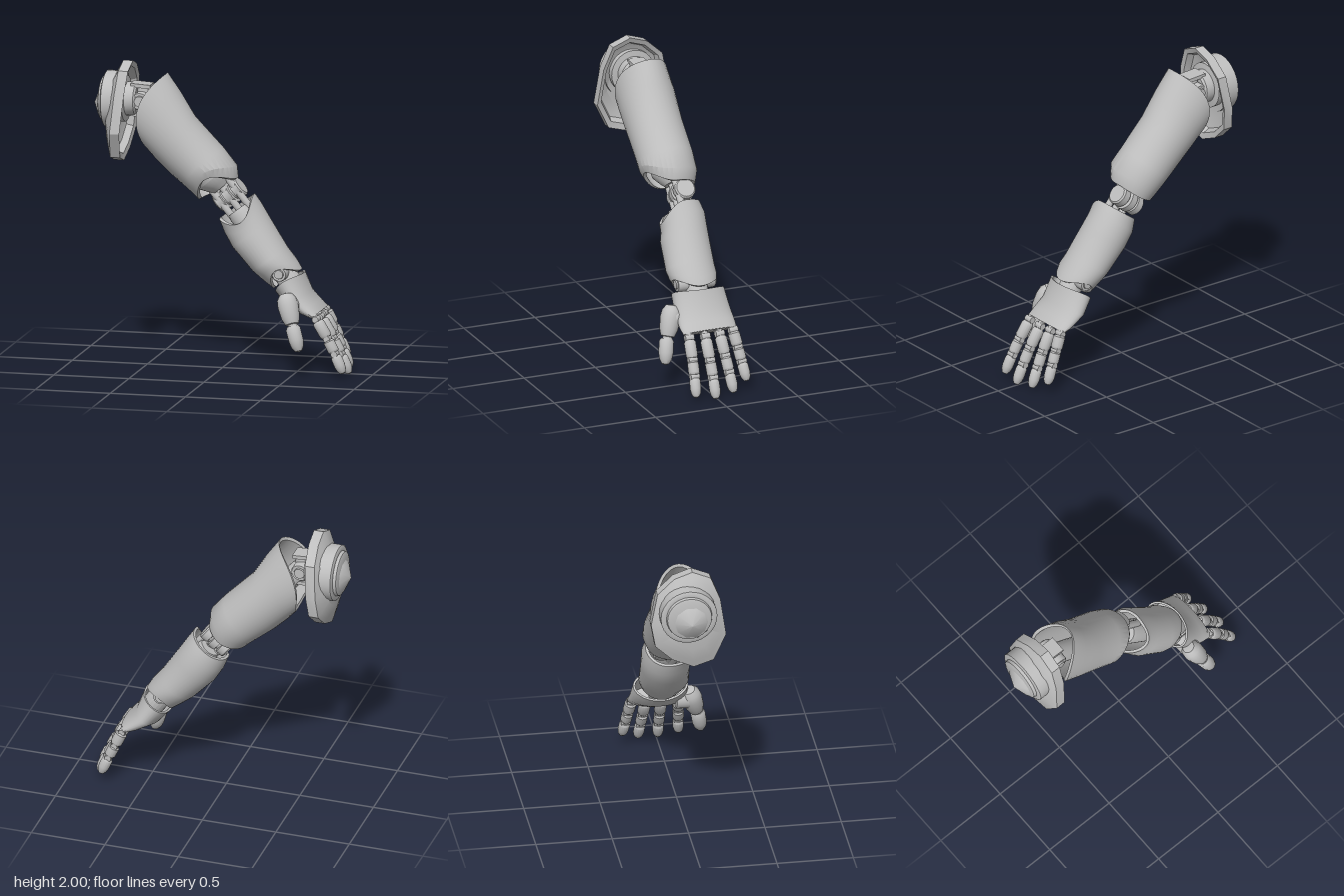
import * as THREE from 'three';
import { toCreasedNormals } from 'three/addons/utils/BufferGeometryUtils.js';

const V = (x, y, z) => new THREE.Vector3(x, y, z);

export function createModel() {
  const model = new THREE.Group();
  const metal = new THREE.MeshStandardMaterial({ color: 0xbebebe });
  metal.name = 'grey metal';

  const add = (name, geometry, parent = model, crease = 0.6) => {
    const mesh = new THREE.Mesh(toCreasedNormals(geometry, crease), metal);
    mesh.name = name;
    parent.add(mesh);
    return mesh;
  };

  // Skin a list of rings; loop joins the last ring back to the first
  const loft = (rings, loop) => {
    const n = rings[0].length, pos = [], idx = [];
    rings.forEach(r => r.forEach(p => pos.push(p.x, p.y, p.z)));
    const m = loop ? rings.length : rings.length - 1;
    for (let i = 0; i < m; i++) for (let j = 0; j < n; j++) {
      const k = (j + 1) % n, i2 = (i + 1) % rings.length;
      const a = i * n + j, b = i * n + k, c = i2 * n + k, d = i2 * n + j;
      idx.push(a, b, c, a, c, d);
    }
    const g = new THREE.BufferGeometry();
    g.setAttribute('position', new THREE.Float32BufferAttribute(pos, 3));
    g.setIndex(idx);
    return g;
  };

  // Cross-section: lower edge, upper edge, back z, front z, and rim bow at front and back
  const ring = ([x1, y1, x2, y2, z1, z2, front = 0, back = 0], inset = 0, n = 36) => {
    const e = V(x2 - x1, y2 - y1, 0), h = Math.max(0, e.length() / 2 - inset);
    e.normalize();
    const d = V(e.y, -e.x, 0), hz = Math.max(0, (z2 - z1) / 2 - inset);
    return Array.from({ length: n }, (_, j) => {
      const a = j / n * Math.PI * 2, s = Math.sin(a);
      return V((x1 + x2) / 2, (y1 + y2) / 2, (z1 + z2) / 2)
        .addScaledVector(e, h * Math.cos(a))
        .addScaledVector(d, (s > 0 ? front : back) * s * s)
        .add(V(0, 0, hz * s));
    });
  };
  const shell = (name, sections, t) => add(name, loft([
    ...sections.map(s => ring(s)), ...sections.map(s => ring(s, t)).reverse()], true));
  const solid = (name, s) => add(name, loft([
    ring(s[0], 9), ...s.map(q => ring(q)), ring(s[s.length - 1], 9)], false));

  // Turned part between two points; profile is [radius, fraction along]
  const turned = (name, a, b, profile, parent = model, sides = 20) => {
    const dir = b.clone().sub(a), len = dir.length();
    const g = new THREE.LatheGeometry(profile.map(([r, t]) => new THREE.Vector2(r, t * len)), sides);
    const mesh = add(name, g, parent);
    mesh.position.copy(a);
    mesh.quaternion.setFromUnitVectors(V(0, 1, 0), dir.normalize());
    return mesh;
  };
  const rod = (name, a, b, r, parent, sides) =>
    turned(name, a, b, [[0, 0], [r * 0.9, 0], [r, 0.06], [r, 0.94], [r * 0.9, 1], [0, 1]], parent, sides);

  // Shoulder guard: faceted outline in z, y
  const outline = [[0, 2], [0.12, 1.95], [0.18, 1.8], [0.215, 1.55], [0.13, 1.38], [0, 1.34],
    [-0.14, 1.4], [-0.25, 1.5], [-0.275, 1.65], [-0.23, 1.86], [-0.12, 1.96]];
  const guardRing = ([x, s]) => outline.map(([z, y]) => {
    const yy = 1.7 + (y - 1.7) * s;
    return V(x + (yy - 1.95) * 0.09, yy, -0.03 + (z + 0.03) * s);
  });
  add('shoulderGuard', loft([[-0.72, 0], [-0.72, 0.6], [-0.685, 0.86], [-0.665, 1], [-0.6, 1],
    [-0.61, 0.88], [-0.655, 0.82], [-0.68, 0.6], [-0.68, 0]].map(guardRing), false), model, 0.45);
  turned('shoulderDrum', V(-0.68, 1.735, -0.04), V(-0.81, 1.735, -0.04),
    [[0.185, 0], [0.185, 0.75], [0.175, 0.8], [0.15, 0.8], [0.145, 0.95], [0.13, 1], [0, 1]], model, 28);
  turned('shoulderCone', V(-0.79, 1.71, -0.03), V(-0.86, 1.71, -0.03), [[0.13, 0], [0.1, 0.4], [0, 1]], model, 10);

  // Shoulder universal joint
  turned('shoulderSocket', V(-0.69, 1.74, -0.04), V(-0.57, 1.74, -0.04),
    [[0.15, 0], [0.15, 0.35], [0.11, 0.4], [0.11, 0.9], [0.095, 1], [0, 1]], model, 28);
  rod('shoulderPin', V(-0.54, 1.74, -0.13), V(-0.54, 1.74, 0.05), 0.06);
  rod('shoulderPinCap', V(-0.54, 1.74, -0.14), V(-0.54, 1.74, 0.06), 0.038);
  rod('shoulderCrossPin', V(-0.53, 1.64, -0.04), V(-0.53, 1.84, -0.04), 0.045);
  for (const side of [-1, 1]) {
    const fork = add('shoulderFork', new THREE.BoxGeometry(0.13, 0.025, 0.11));
    fork.position.set(-0.545, 1.74 + side * 0.095, -0.04);
    fork.rotation.z = -0.06;
  }
  rod('upperArmBone', V(-0.54, 1.74, -0.04), V(-0.1, 1.25, -0.05), 0.07);

  // Upper arm sleeve
  shell('upperArmShell', [
    [-0.5, 1.42, -0.38, 1.92, -0.23, 0.135, -0.1, -0.1],
    [-0.45, 1.36, -0.29, 1.79, -0.235, 0.14, -0.05, -0.05],
    [-0.36, 1.27, -0.2, 1.64, -0.23, 0.135],
    [-0.25, 1.18, -0.01, 1.44, -0.235, 0.135, -0.03],
    [-0.19, 1.13, 0.08, 1.33, -0.23, 0.14, -0.085],
    [-0.16, 1.1, 0.09, 1.25, -0.205, 0.12, -0.1, 0.02]], 0.022);

  // Elbow: ribbed barrel lying across the arm, with links to both halves
  turned('elbowBarrel', V(-0.05, 1.065, -0.09), V(0.105, 1.195, -0.09),
    [[0, 0], [0.06, 0], [0.07, 0.05], [0.07, 0.28], [0.055, 0.3], [0.055, 0.36], [0.075, 0.38],
      [0.075, 0.62], [0.055, 0.64], [0.055, 0.7], [0.07, 0.72], [0.07, 0.95], [0.06, 1], [0, 1]], model, 28);
  turned('elbowUpperMount', V(-0.16, 1.34, -0.05), V(-0.02, 1.18, -0.06),
    [[0, 0], [0.12, 0], [0.12, 0.6], [0.085, 0.85], [0.06, 1], [0, 1]], model, 28);
  for (const k of [-1, 0, 1]) {
    const c = V(0.03 + k * 0.052, 1.13 + k * 0.043, -0.06);
    rod('elbowLink', c.clone().add(V(-0.07, 0.085, 0.015)), c.clone().add(V(0.12, -0.145, 0.015)), 0.024, model, 12);
  }
  rod('forearmBone', V(0.09, 1.04, -0.05), V(0.42, 0.62, -0.03), 0.08);

  // Forearm sleeve
  shell('forearmShell', [
    [-0.03, 0.98, 0.2, 1.15, -0.19, 0.1, 0.1, 0],
    [0, 0.9, 0.24, 1.09, -0.21, 0.1, 0.07, 0],
    [0.06, 0.8, 0.31, 0.98, -0.205, 0.115],
    [0.2, 0.65, 0.42, 0.81, -0.195, 0.13],
    [0.28, 0.585, 0.49, 0.72, -0.19, 0.13, -0.06, -0.04],
    [0.34, 0.54, 0.52, 0.67, -0.18, 0.12, -0.09, -0.06]], 0.018);

  // Wrist
  rod('wristPin', V(0.4, 0.655, -0.16), V(0.4, 0.655, 0.1), 0.05);
  rod('wristPinCap', V(0.4, 0.655, -0.17), V(0.4, 0.655, 0.11), 0.032);
  rod('wristBone', V(0.4, 0.65, -0.03), V(0.52, 0.48, -0.03), 0.075);

  // Hand: open cuff with a solid palm inside
  shell('handShell', [
    [0.36, 0.52, 0.535, 0.65, -0.215, 0.145, -0.03, -0.02],
    [0.42, 0.45, 0.58, 0.53, -0.23, 0.15],
    [0.53, 0.39, 0.63, 0.47, -0.23, 0.155],
    [0.6, 0.37, 0.67, 0.42, -0.225, 0.15]], 0.014);
  solid('palm', [
    [0.44, 0.455, 0.57, 0.53, -0.21, 0.135],
    [0.53, 0.4, 0.62, 0.465, -0.22, 0.145],
    [0.6, 0.375, 0.665, 0.415, -0.215, 0.14]]);

  const capsule = r => [[0, 0], [r * 0.75, 0], [r, 0.12], [r, 0.85], [r * 0.8, 1], [0, 1]];
  const tip = r => [[0, 0], [r * 0.75, 0], [r, 0.12], [r, 0.55], [r * 0.85, 0.78], [r * 0.5, 0.95], [0, 1]];

  // Thumb
  const thumb = new THREE.Group();
  thumb.name = 'thumb';
  model.add(thumb);
  turned('thumbBase', V(0.455, 0.545, 0.15), V(0.52, 0.345, 0.215),
    [[0, 0], [0.04, 0.04], [0.062, 0.18], [0.068, 0.4], [0.06, 0.75], [0.045, 0.95], [0, 1]], thumb);
  rod('thumbMount', V(0.475, 0.47, 0.06), V(0.485, 0.46, 0.18), 0.065, thumb);
  rod('thumbJoint', V(0.51, 0.38, 0.205), V(0.535, 0.3, 0.23), 0.03, thumb);
  turned('thumbTip', V(0.52, 0.345, 0.22), V(0.572, 0.18, 0.25), tip(0.048), thumb);

  // Fingers: base z, tip position
  const fingers = { index: [0.115, 0.84, 0.03, 0.145], middle: [0.005, 0.85, 0.005, 0.01],
    ring: [-0.095, 0.825, 0.02, -0.125], little: [-0.19, 0.78, 0.07, -0.235] };
  for (const [name, [z, tx, ty, tz]] of Object.entries(fingers)) {
    const finger = new THREE.Group();
    finger.name = name + 'Finger';
    model.add(finger);
    const path = new THREE.QuadraticBezierCurve3(V(0.63, 0.41, z),
      V(tx - 0.09, ty + 0.215, z * 0.6 + tz * 0.4), V(tx, ty, tz));
    const at = t => path.getPoint(t);
    turned('proximalSegment', at(0.14), at(0.42), capsule(0.039), finger, 16);
    turned('middleSegment', at(0.47), at(0.67), capsule(0.037), finger, 16);
    turned('fingertip', at(0.72), at(1), tip(0.036), finger, 16);
    rod('fingerCore', at(0), at(0.5), 0.022, finger, 12);
    rod('fingerCoreEnd', at(0.42), at(0.8), 0.022, finger, 12);
    for (const t of [0.1, 0.445, 0.695]) {
      const c = at(t);
      rod('fingerHinge', c.clone().add(V(0, 0, -0.03)), c.clone().add(V(0, 0, 0.03)), 0.024, finger, 12);
    }
  }
  return model;
}
